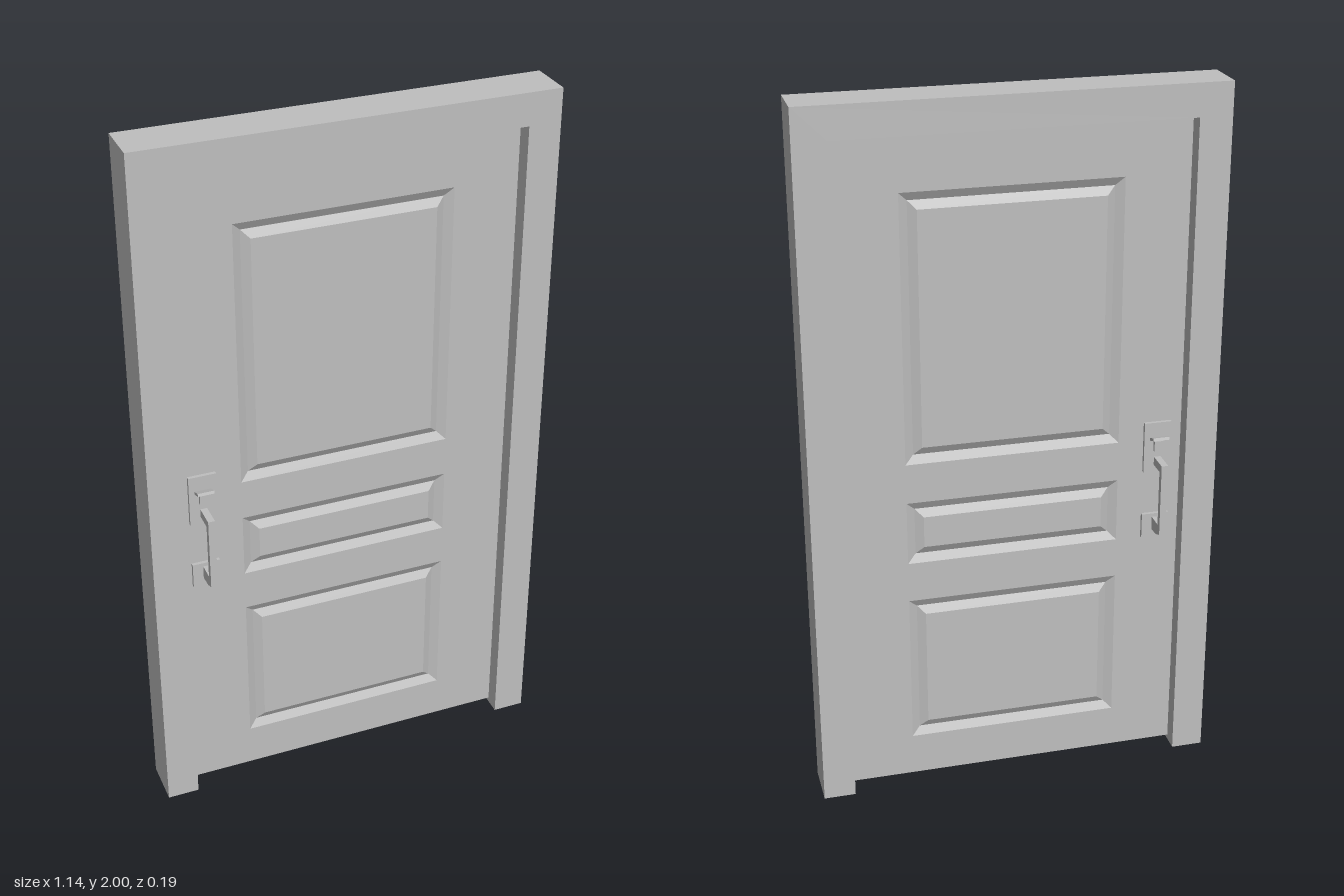
import * as THREE from 'three';

const HALF_FRAME = 0.066; // half depth of the frame
const HALF_DOOR = 0.02; // half thickness of the leaf
const grey = new THREE.MeshStandardMaterial({ color: 0xbfbfbf });
grey.name = 'grey';

// Panel rectangles on the leaf: [half width, bottom, top]
const PANELS = [[0.3, 1.0, 1.755], [0.3, 0.7, 0.885], [0.3, 0.138, 0.583]];

function add(parent, name, geometry, x = 0, y = 0, z = 0) {
  const mesh = new THREE.Mesh(geometry, grey);
  mesh.name = name;
  mesh.position.set(x, y, z);
  parent.add(mesh);
  return mesh;
}

function polygon(points) {
  return new THREE.Shape(points.map(([x, y]) => new THREE.Vector2(x, y)));
}

function rectangle(w, y0, y1) {
  return [[-w, y0], [w, y0], [w, y1], [-w, y1]];
}

function extrude(shape, depth) {
  const geometry = new THREE.ExtrudeGeometry(shape, { depth, bevelEnabled: false });
  return geometry.translate(0, 0, -depth / 2);
}

// Raised panel: a V groove around a flat field, made from nested rectangles
function panelGeometry([w, y0, y1]) {
  const rings = [[0, 0], [0.024, -0.013], [0.047, 0]].map(([inset, z]) =>
    rectangle(w - inset, y0 + inset, y1 - inset).map(([x, y]) => [x, y, z]));
  const positions = [];
  const quad = (a, b, c, d) => positions.push(...a, ...b, ...c, ...a, ...c, ...d);
  for (let r = 0; r < 2; r++) {
    for (let i = 0; i < 4; i++) {
      const j = (i + 1) % 4;
      quad(rings[r][i], rings[r][j], rings[r + 1][j], rings[r + 1][i]);
    }
  }
  quad(...rings[2]);
  const geometry = new THREE.BufferGeometry();
  geometry.setAttribute('position', new THREE.Float32BufferAttribute(positions, 3));
  geometry.computeVertexNormals();
  return geometry;
}

// Handle set, with z = 0 on the surface of the leaf
function makeHandle() {
  const handle = new THREE.Group();
  handle.name = 'handle';
  add(handle, 'upperPlate', new THREE.BoxGeometry(0.078, 0.148, 0.01), 0, 0.979, 0.005);
  add(handle, 'lowerPlate', new THREE.BoxGeometry(0.078, 0.073, 0.01), 0, 0.737, 0.005);

  // Grip: side profile (z, y) swept across x
  const grip = polygon([
    [0.008, 0.724], [0.05, 0.728], [0.077, 0.739], [0.077, 0.95], [0.008, 0.95],
    [0.008, 0.926], [0.06, 0.926], [0.06, 0.763], [0.008, 0.763],
  ]);
  add(handle, 'grip', extrude(grip, 0.019).rotateY(-Math.PI / 2));

  // Thumb latch, tilted up towards its tip, on a small stem
  const latch = add(handle, 'thumbLatch', new THREE.BoxGeometry(0.046, 0.008, 0.034), 0, 1.01, 0.024);
  latch.rotation.x = -0.35;
  add(handle, 'latchStem', new THREE.BoxGeometry(0.024, 0.03, 0.012), 0, 0.985, 0.014);
  return handle;
}

export function createModel() {
  const model = new THREE.Group();
  model.name = 'door';

  // Frame: two jambs and a head in one piece
  const frame = polygon([
    [-0.57, 0], [-0.48, 0], [-0.48, 1.91], [0.48, 1.91],
    [0.48, 0], [0.57, 0], [0.57, 2], [-0.57, 2],
  ]);
  add(model, 'frame', extrude(frame, HALF_FRAME * 2));

  // Leaf with openings for the panels
  const leaf = polygon(rectangle(0.48, 0.014, 1.91));
  for (const panel of PANELS) leaf.holes.push(polygon(rectangle(...panel)));
  add(model, 'leaf', extrude(leaf, HALF_DOOR * 2));

  // Panels and handles on both faces
  for (const front of [true, false]) {
    const face = new THREE.Group();
    face.name = front ? 'frontFace' : 'backFace';
    for (const panel of PANELS) add(face, 'raisedPanel', panelGeometry(panel), 0, 0, HALF_DOOR);
    const handle = makeHandle();
    handle.position.set(front ? -0.411 : 0.411, 0, HALF_DOOR);
    face.add(handle);
    if (!front) face.rotation.y = Math.PI;
    model.add(face);
  }
  return model;
}
